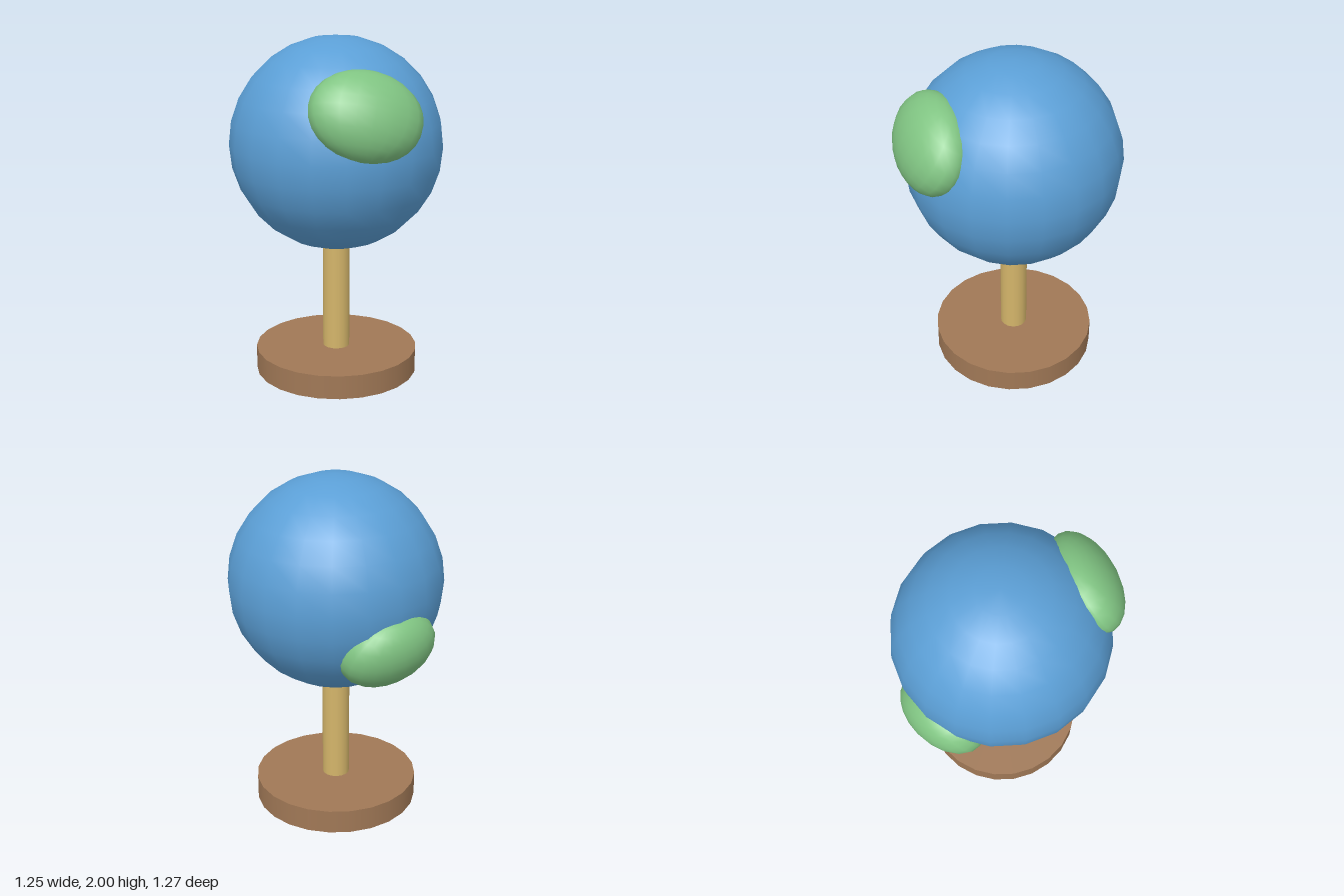
import * as THREE from 'three';

const material = (name, color) => {
  const m = new THREE.MeshStandardMaterial({ color });
  m.name = name;
  return m;
};

export function createModel() {
  const model = new THREE.Group();
  model.name = 'globeOnStand';

  const ocean = material('oceanBlue', 0x5b9fd6);
  const land = material('landGreen', 0x80c482);
  const brass = material('brass', 0xd4b56a);
  const wood = material('wood', 0xa07856);

  const axisZ = -0.016;
  const globeCentre = new THREE.Vector3(0, 1.384, axisZ);

  const add = (name, geometry, mat, x, y, z) => {
    const mesh = new THREE.Mesh(geometry, mat);
    mesh.name = name;
    mesh.position.set(x, y, z);
    model.add(mesh);
    return mesh;
  };

  // Stand: round foot and post
  add('base', new THREE.CylinderGeometry(0.48, 0.48, 0.14, 24), wood, 0, 0.07, axisZ);
  add('post', new THREE.CylinderGeometry(0.08, 0.08, 0.8, 16), brass, 0, 0.41, axisZ);

  // Globe
  add('globe', new THREE.SphereGeometry(0.616, 20, 14), ocean, ...globeCentre.toArray());

  // Continents: flattened ellipsoids facing outward, rolled about their normal
  const addContinent = (name, offset, radii, roll) => {
    const p = globeCentre.clone().add(new THREE.Vector3(...offset));
    const mesh = add(name, new THREE.SphereGeometry(1, 20, 14), land, p.x, p.y, p.z);
    mesh.lookAt(p.clone().multiplyScalar(2).sub(globeCentre));
    mesh.rotateZ(roll);
    mesh.scale.set(...radii);
  };
  addContinent('frontContinent', [0.255, 0.24, 0.427], [0.32, 0.253, 0.175], -0.25);
  addContinent('backContinent', [-0.4, -0.25, -0.29], [0.29, 0.22, 0.18], 0.2);

  return model;
}
